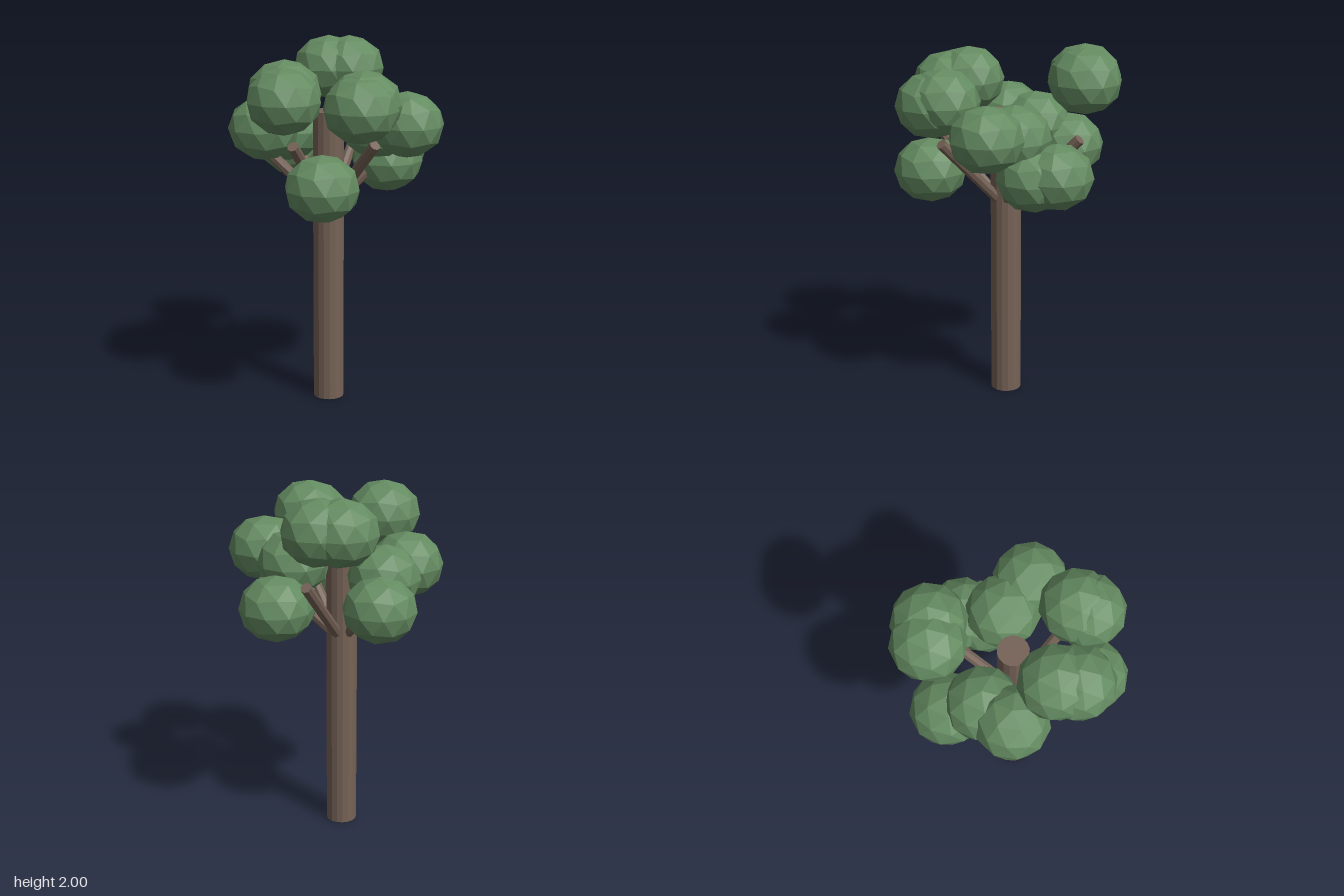
import * as THREE from 'three';

const bark = new THREE.MeshStandardMaterial({ color: 0x756256, flatShading: true });
bark.name = 'bark brown';
const leaf = new THREE.MeshStandardMaterial({ color: 0x648b61, flatShading: true });
leaf.name = 'leaf green';

const TRUNK = { x: -0.035, z: 0.003, radius: 0.085, height: 1.64 };

// Leaf clumps: x, y, z of the centre, and 1 where turned by half a facet
const CLUMPS = [
  [0, 1.82, -0.42, 0], [0.115, 1.82, -0.4, 0],        // high back
  [-0.205, 1.39, -0.37, 0], [-0.245, 1.51, -0.19, 0], // back, -x side
  [-0.38, 1.54, -0.055, 1],                           // -x side
  [-0.28, 1.765, 0.18, 0], [-0.29, 1.74, 0.29, 0],    // front, -x side
  [-0.1, 1.3, 0.413, 0],                              // low front
  [0.125, 1.73, 0.355, 0], [0.1, 1.71, 0.41, 0],      // front, +x side
  [0.375, 1.585, 0.155, 1], [0.23, 1.55, -0.01, 1],   // +x side
  [0.33, 1.36, -0.22, 1], [0.3, 1.345, -0.1, 0],      // back, +x side
];

// Faceted ball with a corner at each pole, slightly flattened
function clumpGeometry() {
  const g = new THREE.IcosahedronGeometry(0.2, 1);
  g.rotateX(-Math.atan2((1 + Math.sqrt(5)) / 2, 1));
  g.rotateY(-Math.PI / 2);
  g.scale(1, 0.9, 1);
  g.computeVertexNormals();
  return g;
}

function addMesh(parent, name, geometry, material) {
  const mesh = new THREE.Mesh(geometry, material);
  mesh.name = name;
  parent.add(mesh);
  return mesh;
}

export function createModel() {
  const tree = new THREE.Group();
  tree.name = 'tree';

  // Trunk
  const trunk = addMesh(tree, 'trunk',
    new THREE.CylinderGeometry(TRUNK.radius, TRUNK.radius, TRUNK.height, 16), bark);
  trunk.position.set(TRUNK.x, TRUNK.height / 2, TRUNK.z);

  // Six branches rising at 45 degrees, evenly spaced around the trunk
  const branches = new THREE.Group();
  branches.name = 'branches';
  branches.position.set(TRUNK.x, 1.09, TRUNK.z);
  tree.add(branches);
  const branchGeometry = new THREE.CylinderGeometry(0.03, 0.03, 0.605, 8);
  branchGeometry.translate(0, 0.3025, 0);
  branchGeometry.rotateZ(-Math.PI / 4);
  for (let i = 0; i < 6; i++) {
    addMesh(branches, 'branch', branchGeometry, bark).rotation.y = (i * Math.PI) / 3;
  }

  // Foliage
  const foliage = new THREE.Group();
  foliage.name = 'foliage';
  tree.add(foliage);
  const ball = clumpGeometry();
  for (const [x, y, z, turned] of CLUMPS) {
    const clump = addMesh(foliage, 'leafClump', ball, leaf);
    clump.position.set(x, y, z);
    clump.rotation.y = turned * Math.PI / 10;
  }
  return tree;
}
